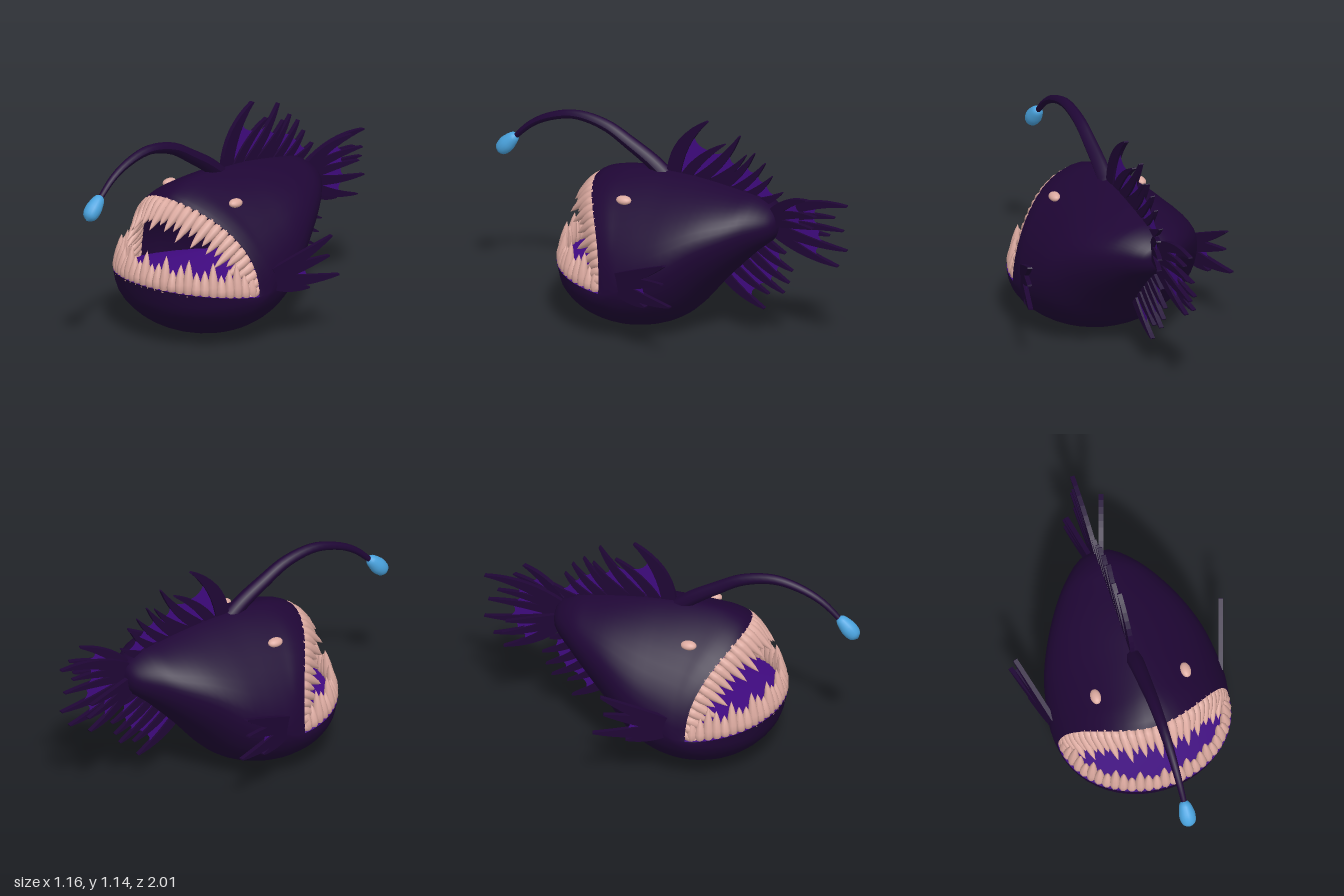
import * as THREE from 'three';
import { mergeVertices } from 'three/addons/utils/BufferGeometryUtils.js';

const mat = (name, color, side = THREE.FrontSide) => {
  const m = new THREE.MeshStandardMaterial({ color, side });
  m.name = name;
  return m;
};

// Body rings, tail to lips: half width, side y, z, top y, z, bottom y, z, roundness of the upper half
const RINGS = [
  [0, .65, -.62, .65, -.62, .65, -.62, 1.2],
  [.09, .65, -.602, .715, -.602, .58, -.602, 1.2],
  [.205, .635, -.5, .78, -.5, .485, -.5, 1.2],
  [.285, .6, -.4, .8, -.4, .385, -.4, 1.3],
  [.365, .54, -.27, .82, -.27, .245, -.27, 1.4],
  [.43, .44, -.13, .835, -.13, .09, -.13, 1.45],
  [.46, .36, 0, .84, 0, .025, 0, 1.45],
  [.47, .32, .08, .84, .12, 0, .18, 1.45],
  [.473, .3, .12, .83, .25, .035, .36, 1.4],
  [.47, .29, .15, .81, .33, .1, .48, 1.25],
  [.465, .285, .18, .785, .39, .2, .57, 1.15],
  [.46, .28, .2, .76, .42, .33, .605, 1.05],
];
const LIP = RINGS[RINGS.length - 1];

// Point on a ring; angle 0 is the top, positive towards +x
function ringPoint([w, ys, zs, yt, zt, yb, zb, e], a) {
  const c = Math.cos(a), s = Math.sin(a), k = Math.abs(c);
  if (c > 0) {
    return new THREE.Vector3(w * Math.sign(s) * Math.abs(s) ** e, ys + (yt - ys) * k, zs + (zt - zs) * k ** 2.5);
  }
  return new THREE.Vector3(w * s, ys + (yb - ys) * k, zs + (zb - zs) * k);
}

// Surface through rows of points, point(row, angle)
function loft(rows, point, a0, a1, n) {
  const pos = [], index = [];
  for (let i = 0; i < rows; i++) {
    for (let j = 0; j <= n; j++) pos.push(...point(i, a0 + (a1 - a0) * j / n).toArray());
  }
  for (let i = 0; i < rows - 1; i++) {
    for (let j = 0; j < n; j++) {
      const a = i * (n + 1) + j, c = a + n + 1;
      index.push(a, c, a + 1, a + 1, c, c + 1);
    }
  }
  let g = new THREE.BufferGeometry();
  g.setAttribute('position', new THREE.Float32BufferAttribute(pos, 3));
  g.setIndex(index);
  g = mergeVertices(g, 1e-5);
  g.computeVertexNormals();
  return g;
}

export function createModel() {
  const skin = mat('dark skin', 0x1f0635);
  const throat = mat('mouth and membrane purple', 0x400a80, THREE.DoubleSide);
  const ivory = mat('tooth pink', 0xdcaaa0);
  const glow = mat('lure blue', 0x4aa3de);
  const model = new THREE.Group();
  model.name = 'anglerfish';

  const add = (name, geometry, material, parent = model) => {
    const m = new THREE.Mesh(geometry, material);
    m.name = name;
    parent.add(m);
    return m;
  };
  const addGroup = (name) => {
    const g = new THREE.Group();
    g.name = name;
    model.add(g);
    return g;
  };

  // Body, smoothed along its length
  const rows = (RINGS.length - 1) * 3 + 1;
  const bodyPoint = (i, a) => new THREE.CatmullRomCurve3(RINGS.map(r => ringPoint(r, a))).getPoint(i / (rows - 1));
  add('body', loft(rows, bodyPoint, -Math.PI, Math.PI, 48), skin);

  // Rounded mouth cavity
  const H = Math.PI / 2;
  const cavity = (i, a) => {
    const p = ringPoint(LIP, a), t = i / 6 * H;
    const k = Math.cos(t);
    return p.set(p.x * k, .38 + (p.y - .38) * k, p.z + (-.05 - p.z) * Math.sin(t));
  };
  add('mouthRoof', loft(7, cavity, -H, H, 24), skin);
  add('mouthFloor', loft(7, cavity, H, 3 * H, 24), throat);

  // Teeth spaced evenly just inside each lip
  const profile = [[0, -.1], [.65, -.05], [.95, .15], [1, .3], [.8, .55], [.42, .82], [0, 1]];
  const toothGeo = new THREE.LatheGeometry(profile.map(p => new THREE.Vector2(...p)), 9);
  const up = new THREE.Vector3(0, 1, 0);
  function teeth(name, a0, a1, n, rule) {
    const group = addGroup(name), pts = [];
    for (let i = 0; i <= 40; i++) pts.push(ringPoint(LIP, a0 + (a1 - a0) * i / 40));
    new THREE.CatmullRomCurve3(pts).getSpacedPoints(n - 1).forEach((p, i) => {
      const { dir, len, r, inset } = rule(p, Math.abs(i - (n - 1) / 2));
      const t = add('tooth', toothGeo, ivory, group);
      t.position.copy(p).add(inset);
      t.quaternion.setFromUnitVectors(up, dir.normalize());
      t.scale.set(r, len, r);
    });
  }
  const upperLen = [.19, .145, .17, .15, .2, .14];
  teeth('upperTeeth', -1.5, 1.5, 33, (p, k) => {
    const h = (p.y - .28) / .48;
    return {
      dir: new THREE.Vector3(-.5 * p.x, -.35 - .4 * h, .76),
      len: upperLen[k % 6] * (.8 + .2 * h), r: .027,
      inset: new THREE.Vector3(-.04 * p.x, -.015 * h, -.01),
    };
  });
  const lowerLen = [.185, .125, .14, .185, .12, .155];
  teeth('lowerTeeth', 1.65, 2 * Math.PI - 1.65, 29, (p, k) => ({
    dir: new THREE.Vector3(-.25 * p.x, 1, -.14 * (p.z - .2) / .4),
    len: lowerLen[k % 6], r: .028,
    inset: new THREE.Vector3(-.05 * p.x, -.005, -.02 * (p.z - .2) / .4),
  }));

  // Eyes
  for (const s of [1, -1]) {
    const eye = add(s > 0 ? 'leftEye' : 'rightEye', new THREE.SphereGeometry(1, 16, 12), ivory);
    eye.position.set(s * .243, .73, .16);
    eye.scale.set(.028, .022, .042);
    eye.rotation.z = -s * .3;
  }

  // Tapered lure stalk
  const path = new THREE.CatmullRomCurve3([
    [.03, .8], [.11, .865], [.24, .945], [.38, 1.02], [.55, 1.05], [.7, 1.015], [.81, .955], [.91, .86],
  ].map(([z, y]) => new THREE.Vector3(0, y, z)));
  const stalk = new THREE.TubeGeometry(path, 28, 1, 8);
  const sp = stalk.attributes.position, v = new THREE.Vector3();
  for (let i = 0; i < sp.count; i++) {
    const t = Math.floor(i / 9) / 28, c = path.getPointAt(t);
    v.fromBufferAttribute(sp, i).sub(c).multiplyScalar(.044 - .03 * t).add(c);
    sp.setXYZ(i, v.x, v.y, v.z);
  }
  stalk.computeVertexNormals();
  add('lureStalk', stalk, skin);

  // Glowing lure
  const egg = [[0, -.08], [.025, -.064], [.038, -.025], [.043, .015], [.033, .056], [0, .077]];
  const eggCurve = new THREE.SplineCurve(egg.map(p => new THREE.Vector2(...p)));
  const eggPoints = eggCurve.getPoints(15).map(p => p.setX(Math.max(0, p.x)));
  const lure = add('lure', new THREE.LatheGeometry(eggPoints, 16), glow);
  lure.position.set(0, .825, .945);
  lure.quaternion.setFromUnitVectors(up, new THREE.Vector3(0, -.74, .67).normalize());

  // Fin in its own plane. Rays: base x, y, tip x, y, half width, bend
  function fin(name, rays, reach = .72, depth = .024) {
    const group = addGroup(name);
    const curves = rays.map(([bx, by, tx, ty, w, bend]) => {
      const dx = tx - bx, dy = ty - by, l = Math.hypot(dx, dy);
      const b = new THREE.Vector2(bx, by), t = new THREE.Vector2(tx, ty);
      const c = new THREE.Vector2((bx + tx) / 2 - dy * bend, (by + ty) / 2 + dx * bend);
      const n = new THREE.Vector2(-dy / l, dx / l).multiplyScalar(w);
      const s = new THREE.Shape().moveTo(b.x + n.x, b.y + n.y);
      s.quadraticCurveTo(c.x + n.x, c.y + n.y, t.x + n.x * .12, t.y + n.y * .12);
      s.lineTo(t.x - n.x * .12, t.y - n.y * .12);
      s.quadraticCurveTo(c.x - n.x, c.y - n.y, b.x - n.x, b.y - n.y);
      const g = new THREE.ExtrudeGeometry(s, { depth, bevelEnabled: false, curveSegments: 8 });
      add('finRay', g.translate(0, 0, -depth / 2), skin, group);
      return new THREE.QuadraticBezierCurve(b, c, t);
    });
    // Scalloped membrane between neighbouring rays
    for (let i = 0; i < curves.length - 1; i++) {
      const p = curves[i], q = curves[i + 1];
      const p2 = p.getPoint(reach * .75), q1 = q.getPoint(reach), q2 = q.getPoint(reach * .75);
      const s = new THREE.Shape([0, reach / 3, reach * .7, reach].map(t => p.getPoint(t)));
      s.quadraticCurveTo((p2.x + q2.x) / 2, (p2.y + q2.y) / 2, q1.x, q1.y);
      for (const t of [reach * .7, reach / 3, 0]) s.lineTo(q.getPoint(t).x, q.getPoint(t).y);
      add('finMembrane', new THREE.ShapeGeometry(s, 6), throat, group);
    }
    group.rotation.y = Math.PI / 2;
    return group;
  }

  fin('dorsalFin', [
    [.01, .82, .2, 1.14, .042, .22], [.08, .82, .3, 1.03, .028, .12], [.16, .82, .385, 1.09, .03, -.1],
    [.23, .81, .42, .99, .024, -.1], [.29, .8, .47, 1.01, .024, -.1], [.36, .79, .53, .965, .024, -.1],
    [.43, .77, .57, .9, .022, -.1], [.5, .75, .63, .82, .022, -.1],
  ]);
  fin('analFin', [
    [.3, .32, .53, .165, .028, -.1], [.36, .37, .555, .25, .022, -.08], [.41, .42, .64, .27, .024, -.08],
    [.46, .46, .67, .33, .024, -.08], [.5, .5, .69, .4, .022, -.08], [.54, .54, .65, .49, .02, -.08],
  ]);
  fin('tailFin', [
    [.58, .69, 1, .81, .032, .14], [.58, .67, .93, .735, .024, .08], [.58, .65, .98, .67, .024, .04],
    [.58, .63, 1, .565, .028, -.06], [.58, .61, .95, .47, .028, -.1],
  ]);
  // Splayed upper and lower tail lobes, one on each side
  const lobeUp = fin('leftTailLobe', [
    [0, .71, .24, .845, .028, .14], [0, .69, .3, .77, .024, .08], [0, .66, .28, .7, .022, .03],
  ]);
  lobeUp.position.set(.025, 0, -.59);
  lobeUp.rotation.y = H - .31;
  const lobeDown = fin('rightTailLobe', [
    [0, .64, .28, .6, .022, -.03], [0, .62, .3, .53, .024, -.08], [0, .6, .29, .45, .028, -.14],
  ]);
  lobeDown.position.set(-.025, 0, -.59);
  lobeDown.rotation.y = H + .18;

  // Pectoral fins with broad rays
  for (const s of [1, -1]) {
    const f = fin(s > 0 ? 'leftPectoralFin' : 'rightPectoralFin', [
      [0, .38, .33, .54, .034, -.03], [0, .365, .315, .435, .034, 0],
      [0, .345, .37, .325, .034, -.06], [0, .325, .2, .28, .03, -.08],
    ], .6);
    f.position.set(s * .455, 0, .09);
    f.rotation.y = H - s * .31;
  }
  return model;
}
